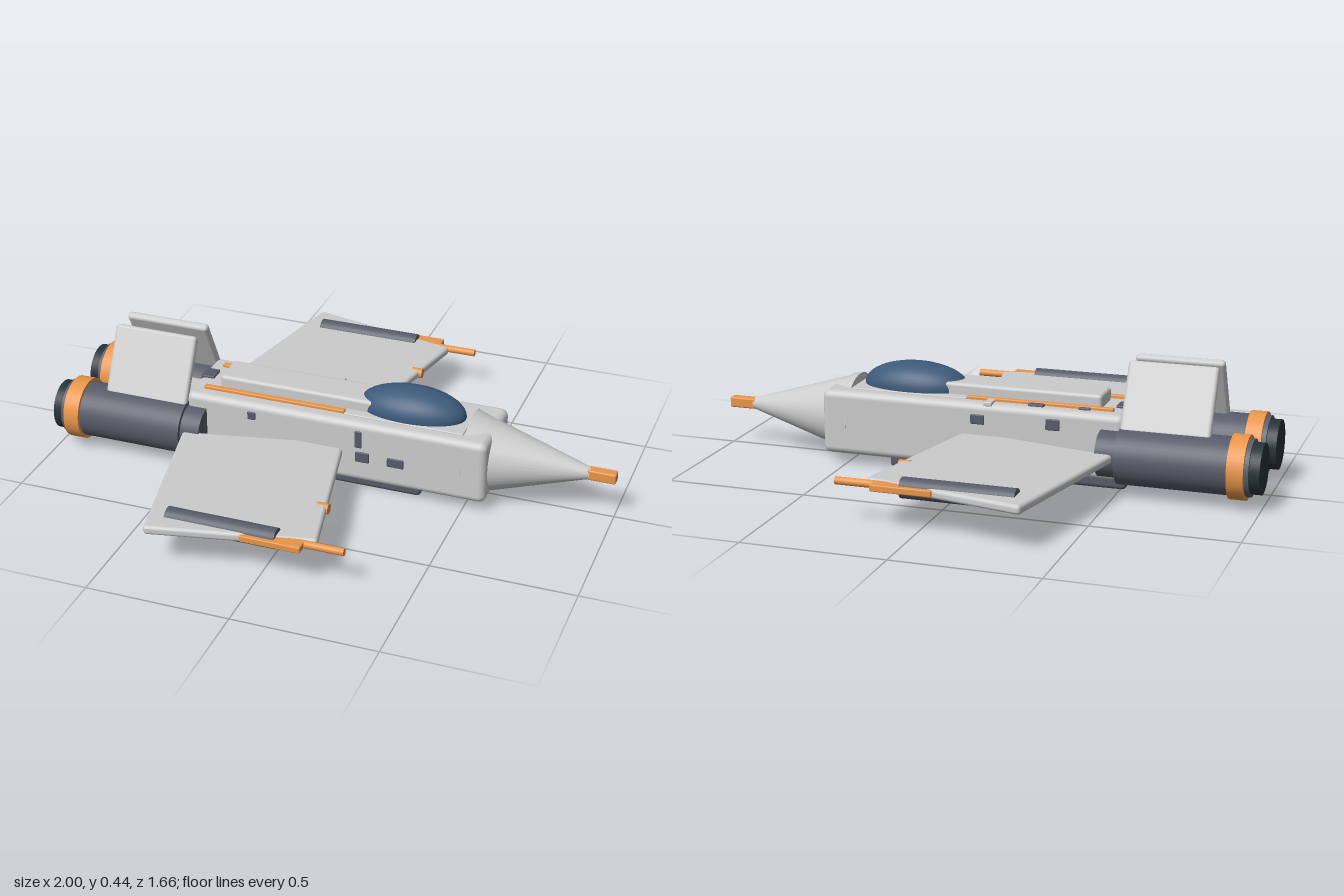
import * as THREE from 'three';
import { RoundedBoxGeometry } from 'three/addons/geometries/RoundedBoxGeometry.js';

const paint = (color) => new THREE.MeshStandardMaterial({ color });
const grey = paint(0xcccccc);
const slate = paint(0x585b68);
const dark = paint(0x27323a);
const orange = paint(0xe8954a);
const glass = paint(0x3d5a7a);

export function createModel() {
  const ship = new THREE.Group();
  ship.name = 'starfighter';

  const add = (name, geometry, material, x, y, z) => {
    const mesh = new THREE.Mesh(geometry, material);
    mesh.name = name;
    mesh.position.set(x, y, z);
    ship.add(mesh);
    return mesh;
  };
  // Box given by its extents along x and y, and its middle and width in z
  const box = (name, material, [x0, x1], [y0, y1], z, depth, radius = 0.004) =>
    add(name, new RoundedBoxGeometry(x1 - x0, y1 - y0, depth, 3, radius),
      material, (x0 + x1) / 2, (y0 + y1) / 2, z);
  // Cylinder or cone lying along x, with its rear and front radii
  const tube = (name, material, [x0, x1], y, z, rear, front = rear) =>
    add(name, new THREE.CylinderGeometry(front, rear, x1 - x0, 40).rotateZ(-Math.PI / 2),
      material, (x0 + x1) / 2, y, z);

  // Body
  box('fuselage', grey, [-0.52, 0.58], [0.04, 0.27], 0, 0.29, 0.025);
  box('bellyTray', slate, [-0.52, 0.34], [0, 0.07], 0, 0.22, 0.015);
  box('spine', grey, [-0.42, 0.3], [0.25, 0.315], 0, 0.13, 0.012);
  box('tailBlock', grey, [-0.71, -0.5], [0.08, 0.21], 0, 0.15, 0.012);
  tube('noseCone', grey, [0.49, 0.91], 0.155, 0, 0.147, 0.02);
  box('noseProbe', orange, [0.9, 1], [0.136, 0.174], 0, 0.038, 0.006);

  // Cockpit
  box('cockpitDeck', grey, [0.055, 0.485], [0.255, 0.275], 0, 0.2);
  add('canopy', new THREE.SphereGeometry(1, 40, 24).scale(0.193, 0.085, 0.097),
    glass, 0.273, 0.28, 0);

  for (const s of [1, -1]) {
    const side = s > 0 ? 'Near' : 'Far';

    // Engine
    const ez = s * 0.147;
    tube('engineIntake' + side, slate, [-0.53, -0.44], 0.14, ez, 0.08);
    tube('engine' + side, slate, [-0.965, -0.51], 0.137, ez, 0.098);
    tube('engineRing' + side, orange, [-0.95, -0.893], 0.137, ez, 0.11);
    tube('nozzle' + side, dark, [-1, -0.94], 0.137, ez, 0.087);

    // Tail fin, leaning inwards
    const fin = box('tailFin' + side, grey, [-0.82, -0.51], [0.205, 0.455], s * 0.1, 0.03, 0.012);
    fin.rotation.x = -s * 0.475;

    // Wing, swept forward
    const wing = box('wing' + side, grey, [-0.443, 0.129], [0.127, 0.159], s * 0.465, 0.625, 0.012);
    wing.rotation.y = s * 0.212;

    // Wing tip pod and gun
    tube('wingPod' + side, slate, [-0.33, 0.055], 0.143, s * 0.723, 0.035);
    box('gunBody' + side, orange, [-0.06, 0.15], [0.133, 0.156], s * 0.745, 0.05);
    tube('gunBarrel' + side, orange, [0.05, 0.285], 0.143, s * 0.723, 0.013);
    tube('wingLamp' + side, orange, [0.11, 0.15], 0.143, s * 0.5, 0.018);

    // Orange stripe along the top
    box('topStripe' + side, orange, [-0.47, 0.055], [0.265, 0.281], s * 0.085, 0.02);
  }

  // Small panels on the sides
  const sidePanels = [
    [-0.27, 0.225, 0.03, 0.03, 1], [0.125, 0.208, 0.025, 0.065, 1],
    [0.14, 0.14, 0.05, 0.04, 1], [0.26, 0.14, 0.06, 0.035, 1],
    [-0.27, 0.22, 0.05, 0.04, -1], [0.0, 0.215, 0.05, 0.035, -1],
  ];
  for (const [x, y, w, h, s] of sidePanels)
    box('sidePanel', slate, [x - w / 2, x + w / 2], [y - h / 2, y + h / 2], s * 0.143, 0.012);

  // Small panels on the top
  const topPanels = [
    [-0.2, -0.1, 0.055, 0.03, slate], [-0.035, -0.115, 0.03, 0.05, grey],
    [-0.49, -0.012, 0.05, 0.06, slate], [-0.37, -0.09, 0.04, 0.03, slate],
  ];
  for (const [x, z, w, d, material] of topPanels)
    box('topPanel', material, [x - w / 2, x + w / 2], [0.262, 0.278], z, d);

  return ship;
}
